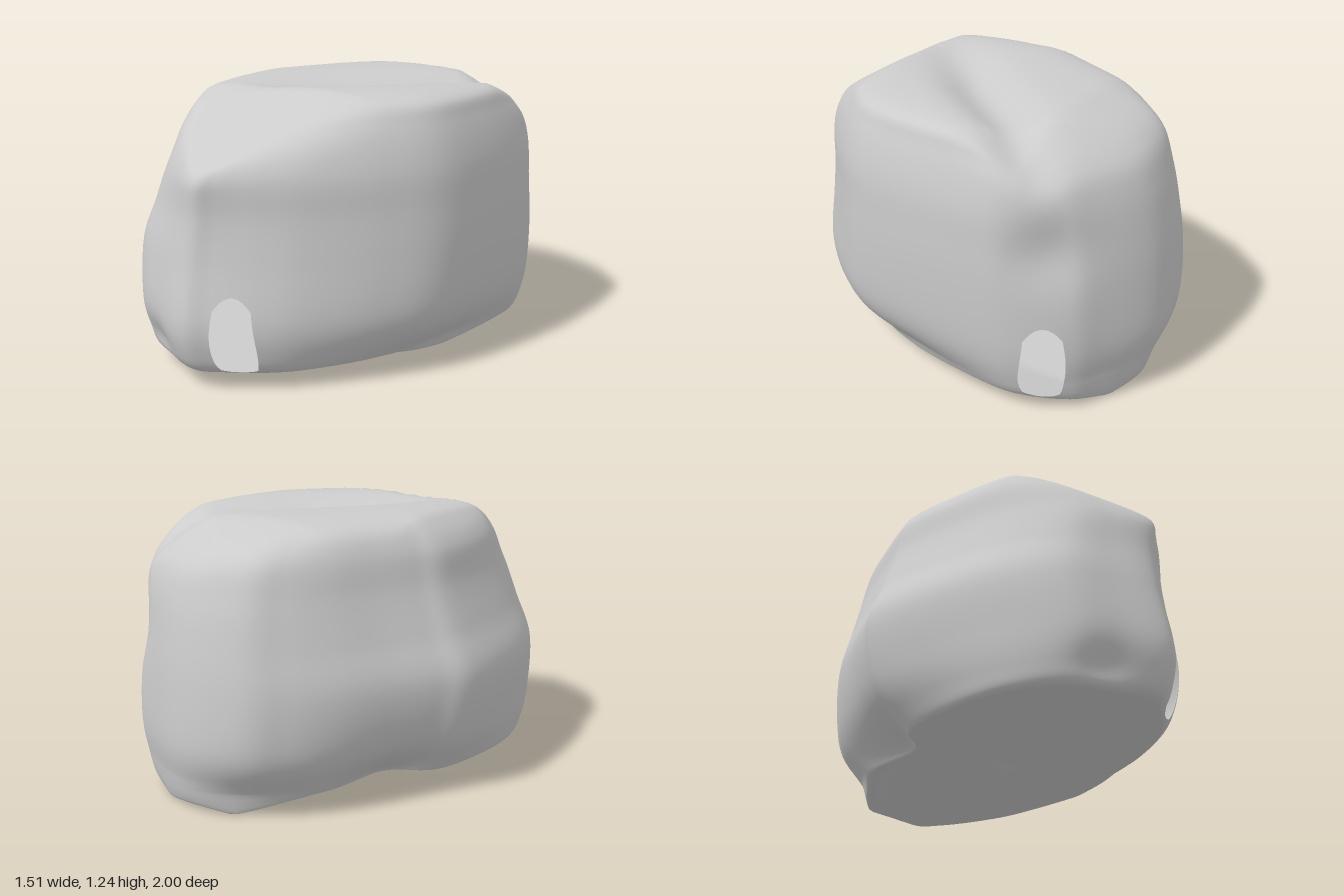
import * as THREE from 'three';

// Plan outline of the boulder at its widest, as [x, z]
const outline = [
  [-0.11, -0.97], [0.19, -0.99], [0.48, -0.86], [0.61, -0.77], [0.72, -0.6], [0.755, -0.42], [0.74, -0.08],
  [0.67, 0.27], [0.5, 0.52], [0.27, 0.75], [0.1, 0.87], [-0.08, 0.96], [-0.2, 1], [-0.38, 0.92], [-0.57, 0.8],
  [-0.69, 0.58], [-0.745, 0.28], [-0.75, -0.11], [-0.67, -0.28], [-0.565, -0.46], [-0.43, -0.68], [-0.28, -0.85],
];

// Levels from bottom centre to top centre: [y, scale of -x, +x, +z, -z]
const levels = [
  [0.07, 0, 0, 0, 0],
  [0.07, 0.45, 0.45, 0.45, 0.45],
  [0.07, 0.82, 0.82, 0.82, 0.86],
  [0.08, 0.93, 0.92, 0.92, 0.96],
  [0.16, 0.96, 0.96, 0.975, 0.98],
  [0.31, 0.98, 0.985, 1, 1],
  [0.56, 1, 1, 0.955, 0.985],
  [0.75, 0.9, 1, 0.93, 0.96],
  [0.94, 0.81, 0.985, 0.93, 0.92],
  [1.12, 0.76, 0.92, 0.87, 0.85],
  [1.25, 0.64, 0.82, 0.72, 0.7],
  [1.36, 0.35, 0.42, 0.38, 0.38],
  [1.4, 0, 0, 0, 0],
];

// Openings: centre and half size, in outline steps (u) and level steps (v)
const openings = [
  { u: 10.5, v: 4.25, hu: 0.5, hv: 1.25 },
  { u: 3.5, v: 4.25, hu: 0.5, hv: 1.25 },
];

// Hollows in the wall: [u, v, width in u, width in v, depth]
const hollows = [
  [6.9, 3, 1.8, 1.3, 0.18], // undercut, front left
  [18.6, 3, 2.1, 1.5, 0.36], // undercut, rear right
  [21.7, 3, 1, 1.3, 0.12], // undercut, back
  [3.2, 7, 0.9, 0.9, 0.05], // above the side opening
  [13.4, 4, 0.6, 0.7, 0.03], // low on the nose
  [14, 9, 1.3, 1.3, 0.07], // shoulders beside the nose
  [9.4, 9.2, 1.2, 1, 0.05],
];

const clamp01 = (t) => Math.min(1, Math.max(0, t));

// Smooth interpolation through rows of numbers
function sample(rows, t, closed) {
  const n = rows.length;
  const i = Math.floor(t), f = t - i;
  const row = (k) => rows[closed ? (k + n) % n : Math.min(n - 1, Math.max(0, k))];
  const [a, b, c, d] = [row(i - 1), row(i), row(i + 1), row(i + 2)];
  return b.map((_, k) => b[k] + 0.5 * f * (c[k] - a[k]
    + f * (2 * a[k] - 5 * b[k] + 4 * c[k] - d[k] + f * (3 * (b[k] - c[k]) + d[k] - a[k]))));
}

// Distance from an opening's centre, where 1 is its edge
const reach = (o, u, v) => Math.max(Math.abs(u - o.u) / o.hu, Math.abs(v - o.v) / o.hv);

// Round the square block of cells around each opening into an oval
function roundOpenings(u, v) {
  for (const o of openings) {
    const m = reach(o, u, v);
    if (m === 0 || m >= 2) continue;
    const du = u - o.u, dv = v - o.v;
    const round = (m / Math.hypot(du / o.hu, dv / o.hv)) ** 0.6;
    const k = 1 + (round - 1) * clamp01(2 - m);
    return [o.u + du * k, o.v + dv * k];
  }
  return [u, v];
}

// Height of the top: falls to the nose, the back, the right side and the rear left corner, with a diagonal groove
function topHeight(x, z) {
  const across = (x - 0.12) * 0.76 + z * 0.65;
  return 1.245
    - 0.6 * Math.max(0, z - 0.4)
    - 0.3 * Math.max(0, -z - 0.55)
    - 0.8 * Math.max(0, -x - 0.46)
    - 0.35 * Math.max(0, x - z - 0.9)
    - 0.07 * clamp01((0.5 - z) * 2) * Math.exp(-((across / 0.14) ** 2));
}

// Minimum of two heights with a rounded transition
function softMin(a, b, r = 0.12) {
  const h = Math.max(0, r - Math.abs(a - b)) / r;
  return Math.min(a, b) - h * h * r / 4;
}

function surfacePoint(u0, v0) {
  const [u, v] = roundOpenings(u0, v0);
  const [px, pz] = sample(outline, u, true);
  let [y, left, right, front, back] = sample(levels, v, false);

  // Each hollow keeps its full rim depth across the underside
  const n = outline.length;
  let k = 1;
  for (const [hu, hv, wu, wv, depth] of hollows) {
    const du = (u - hu + 1.5 * n) % n - n / 2, dv = Math.max(3, v) - hv;
    k -= depth * Math.exp(-((du / wu) ** 2) - (dv / wv) ** 2);
  }
  const x = px * (px < 0 ? left : right) * k;
  const z = pz * (pz > 0 ? front : back) * k;

  // Belly under the rear half
  if (v < 3.5) {
    const belly = clamp01((0.28 - z) / 0.28) * clamp01((z + 1) / 0.14)
      * clamp01((x + 0.25) / 0.25) * clamp01((0.7 - x) / 0.33);
    y -= 0.07 * belly * clamp01((3.4 - v) * 2);
  }
  return [x, Math.max(0, softMin(y, topHeight(x, z))), z];
}

// Skin of the hollow boulder, leaving out the cells inside the openings
function skinGeometry(div = 8) {
  const nu = outline.length * div, nv = (levels.length - 1) * div;
  const positions = [], index = [];
  for (let j = 0; j <= nv; j++) {
    for (let i = 0; i < nu; i++) positions.push(...surfacePoint(i / div, j / div));
  }
  for (let j = 0; j < nv; j++) {
    for (let i = 0; i < nu; i++) {
      if (openings.some((o) => reach(o, (i + 0.5) / div, (j + 0.5) / div) < 1)) continue;
      const a = j * nu + i, b = j * nu + (i + 1) % nu;
      const c = a + nu, d = b + nu;
      if (j < nv - 1) index.push(a, c, d);
      else index.push(a, c, b);
      if (j > 0 && j < nv - 1) index.push(a, d, b);
    }
  }
  const geometry = new THREE.BufferGeometry();
  geometry.setAttribute('position', new THREE.Float32BufferAttribute(positions, 3));
  geometry.setIndex(index);
  geometry.computeVertexNormals();
  return geometry;
}

export function createModel() {
  const group = new THREE.Group();
  group.name = 'hollowBoulder';
  const material = new THREE.MeshStandardMaterial({ color: 0xcccccc, side: THREE.DoubleSide });
  const rock = new THREE.Mesh(skinGeometry(), material);
  rock.name = 'rockShell';
  group.add(rock);
  return group;
}
